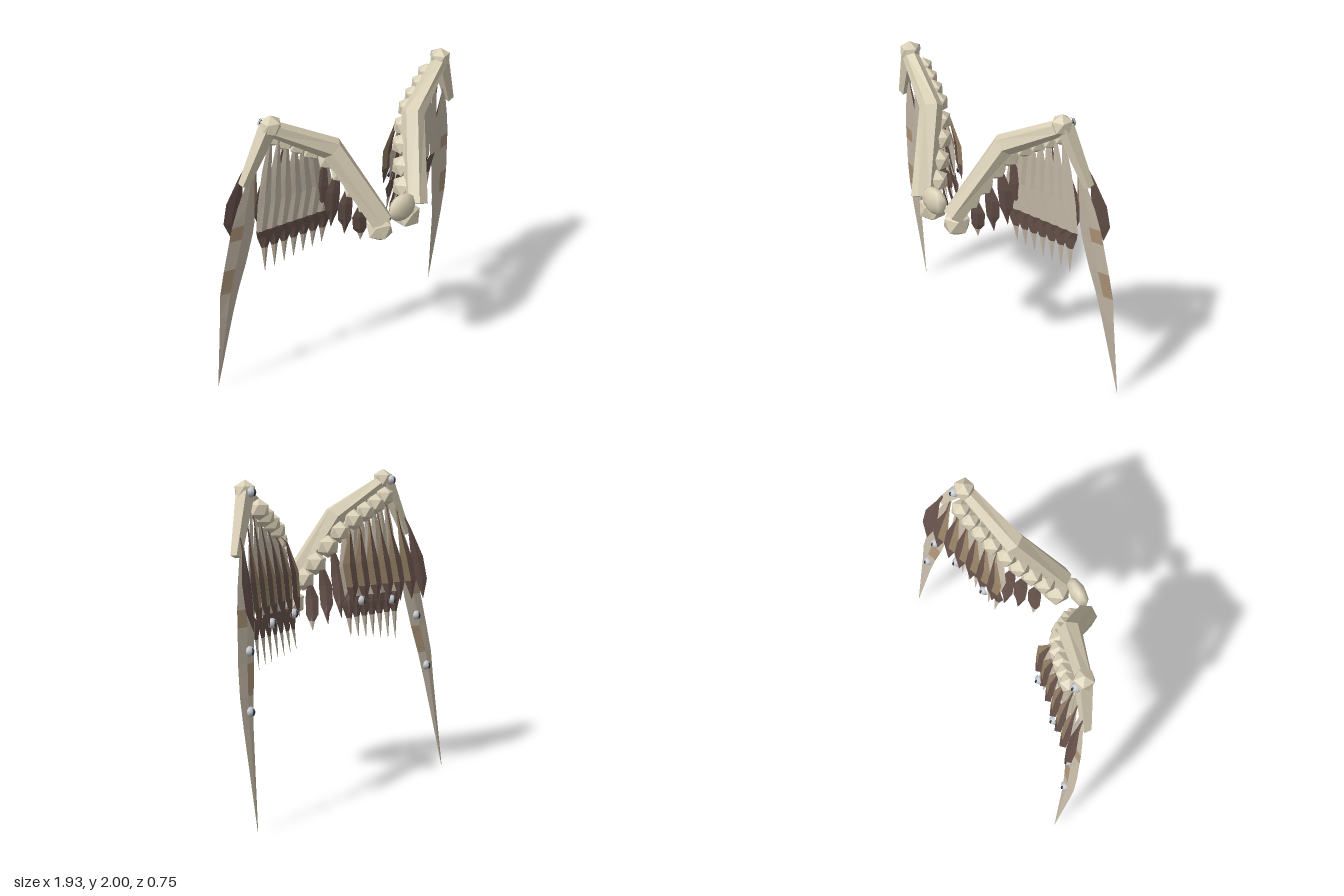
import * as THREE from 'three';

const mat = (name, color, side = THREE.FrontSide) => {
  const m = new THREE.MeshStandardMaterial({ color, side });
  m.name = name;
  return m;
};
const V = (a) => new THREE.Vector3(a[0], a[1], a[2]);
const mix = (a, b, t) => a + (b - a) * t;

// Triangle list to geometry, with material groups per run
function fromTriangles(runs) {
  const pos = [], g = new THREE.BufferGeometry();
  for (const { tris, m } of runs) {
    g.addGroup(pos.length / 3, tris.length, m);
    tris.forEach((p) => pos.push(p.x, p.y, p.z));
  }
  g.setAttribute('position', new THREE.Float32BufferAttribute(pos, 3));
  g.computeVertexNormals();
  return g;
}

// Mirror across x = 0 and restore the corner order
function mirrored(geo) {
  const g = geo.index ? geo.toNonIndexed() : geo.clone();
  for (const a of [g.attributes.position, g.attributes.normal]) {
    for (let i = 0; i < a.count; i += 3) {
      const c = [0, 2, 1].map((k) => [-a.getX(i + k), a.getY(i + k), a.getZ(i + k)]);
      c.forEach((q, k) => a.setXYZ(i + k, ...q));
    }
  }
  return g;
}

// Faceted limb: rings [x, y, z, radius] joined at mitred corners
function limb(rings, sides) {
  const c = rings.map(V), n = rings.length;
  const loops = rings.map((r, i) => {
    const t = c[Math.min(i + 1, n - 1)].clone().sub(c[Math.max(i - 1, 0)]).normalize();
    const u = new THREE.Vector3(0, 0, 1).addScaledVector(t, -t.z).normalize();
    const w = t.clone().cross(u);
    return Array.from({ length: sides }, (_, k) => {
      const a = ((k + 0.5) / sides) * Math.PI * 2;
      return c[i].clone().addScaledVector(u, r[3] * Math.cos(a)).addScaledVector(w, r[3] * Math.sin(a));
    });
  });
  const tris = [];
  for (let k = 0; k < sides; k++) {
    const j = (k + 1) % sides;
    for (let i = 0; i < n - 1; i++) {
      const [a, b] = [loops[i], loops[i + 1]];
      tris.push(a[k], a[j], b[j], a[k], b[j], b[k]);
    }
    tris.push(c[0], loops[0][j], loops[0][k], c[n - 1], loops[n - 1][k], loops[n - 1][j]);
  }
  return fromTriangles([{ tris, m: 0 }]);
}

// Thin ridged blade: rows [x, y, z, halfWidth]; tones = [inner, outer, inner back, outer back] per section
function blade(rows, dir, tones, thick = 0.007) {
  const d = V(dir).normalize(), f = new THREE.Vector3(-d.z, 0, d.x);
  const sec = rows.map((r) => {
    const p = V(r), t = Math.min(thick, r[3] * 0.4);
    return [p.clone().addScaledVector(d, -r[3]), p.clone().addScaledVector(f, t),
      p.clone().addScaledVector(d, r[3]), p.clone().addScaledVector(f, -t)];
  });
  const runs = [];
  for (let i = 0; i < rows.length - 1; i++) {
    const [a, b] = [sec[i], sec[i + 1]];
    const [inner, outer, innerBack = inner, outerBack = outer] = tones[i];
    [inner, outer, outerBack, innerBack].forEach((m, k) => {
      const j = (k + 1) % 4;
      runs.push({ tris: [a[k], b[k], b[j], a[k], b[j], a[j]], m });
    });
  }
  return fromTriangles(runs);
}

export function createModel() {
  const root = new THREE.Group();
  root.name = 'wings';
  const bone = mat('bone', 0xd9cfb6);
  const pale = mat('pale feather', 0xc8bcaa, THREE.DoubleSide);
  const dark = mat('dark brown feather', 0x68534c, THREE.DoubleSide);
  const mid = mat('mid brown feather', 0x998468, THREE.DoubleSide);
  const tan = mat('tan patch', 0xb0967a, THREE.DoubleSide);
  const silver = mat('silver bead', 0xc0c6cc);
  const black = mat('bead slit', 0x2e2e32);
  const plumage = [pale, dark, mid, tan];
  const P = 0, D = 1, M = 2, T = 3;

  // Central knuckle
  const hub = new THREE.Mesh(new THREE.SphereGeometry(1, 8, 6), bone);
  hub.name = 'centreKnuckle';
  hub.scale.set(0.105, 0.088, 0.05);
  hub.position.set(0, 1.288, 0.328);
  root.add(hub);

  // Parts of the left wing; each is mirrored for the right
  const parts = [];
  const add = (name, geo, m) => parts.push({ name, geo, m });

  add('armBone', limb([[0.145, 1.24, 0.3, 0.073], [0.33, 1.71, 0.065, 0.073], [0.675, 1.915, -0.055, 0.05]], 6), bone);
  add('fingerBone', limb([[0.69, 1.92, -0.07, 0.055], [0.84, 1.57, -0.13, 0.033]], 4), bone);

  // Wrist and chain of feather sockets, each with a corner pointing up
  [[0.677, 1.931, -0.058, 0.069], [0.115, 1.155, 0.25, 0.09], [0.15, 1.31, 0.18, 0.076],
    [0.2, 1.41, 0.12, 0.075], [0.25, 1.52, 0.06, 0.074], [0.31, 1.61, 0.01, 0.072],
    [0.39, 1.685, -0.04, 0.07], [0.47, 1.735, -0.07, 0.068], [0.55, 1.78, -0.095, 0.067],
    [0.62, 1.825, -0.115, 0.065]].forEach(([x, y, z, r], i) =>
    add(i ? 'featherSocket' : 'wristJoint', new THREE.IcosahedronGeometry(r).rotateZ(0.5536).translate(x, y, z), bone));

  // Pale flight feathers with a dark band near the tip
  for (let i = 0; i < 7; i++) {
    const t = i / 6, rx = mix(0.36, 0.66, t), mx = mix(0.29, 0.71, t), bx = mix(0.28, 0.69, t);
    const ry = mix(1.68, 1.83, t), z0 = mix(-0.02, -0.09, t), z1 = mix(-0.11, -0.165, t);
    const zAt = (y) => mix(z0, z1, (ry - y) / (ry - 0.9));
    add('flightFeather', blade([
      [rx, ry, z0, 0.01],
      [mix(rx, mx, 0.45), 1.62, zAt(1.62), 0.031],
      [mx - 0.012, 1.4, zAt(1.4), 0.043],
      [mx + 0.008, 1.2, zAt(1.2), 0.034],
      [bx, 1.15, zAt(1.15), 0.05],
      [bx, 1.07, zAt(1.07), 0.022],
      [bx - 0.005, mix(0.95, 0.89, t), z1, 0.001]], [0.97, 0, -0.24],
    [[P, P], [P, P], [P, P], [D, D], [D, D], [P, P]]), plumage);
  }

  // Brown coverts behind the flight feathers
  for (let i = 0; i < 7; i++) {
    const t = i / 6, rx = mix(0.34, 0.81, t), bx = mix(0.27, 0.85, t);
    const ry = i < 5 ? mix(1.64, 1.86, t) : mix(1.8, 1.7, i - 5);
    const z0 = mix(-0.04, -0.13, t), z1 = mix(-0.13, -0.27, t), inner = i < 6 ? M : D;
    add('covert', blade([
      [rx, ry, z0, 0.004],
      [mix(rx, bx, 0.4), 1.6, mix(z0, z1, 0.3), 0.014],
      [bx, 1.42, mix(z0, z1, 0.62), 0.052],
      [bx + 0.01, 1.27, mix(z0, z1, 0.85), 0.048],
      [bx, 1.15, z1, 0.002]], [0.97, 0, -0.24],
    [[inner, D], [inner, D], [inner, D], [D, D]]), plumage);
  }

  // Short inner feathers
  [[0.15, 1.32, 0.14, 0.12, 0.99, 0.08], [0.2, 1.43, 0.08, 0.19, 1.03, 0.01],
    [0.25, 1.53, 0.03, 0.24, 1.07, -0.06], [0.31, 1.6, -0.02, 0.28, 1.09, -0.1]].forEach(([x, y, z, bx, by, bz], i) => {
    const row = (t, w, k = 0) => [mix(x, bx, t) + k, mix(y, by, t), mix(z, bz, t), w];
    add('innerFeather', blade([row(0, 0.008), row(0.4, 0.045, 0.02), row(0.7, 0.042, 0.01), row(0.82, 0.02), row(1, 0.001)],
      [0.85, 0, -0.52], [[D, D], [D, D], [D, D], i ? [D, D] : [P, P]]), plumage);
  });

  // Long trailing feather with tan patches
  add('longFeather', blade([
    [0.77, 1.7, -0.11, 0.006],
    [0.81, 1.4, -0.16, 0.06],
    [0.82, 1.27, -0.18, 0.08],
    [0.832, 1.17, -0.195, 0.083],
    [0.868, 0.96, -0.225, 0.078],
    [0.897, 0.78, -0.255, 0.067],
    [0.912, 0.6, -0.28, 0.048],
    [0.945, 0, -0.375, 0.001]], [0.98, 0, -0.1],
  [[P, P], [P, P], [P, T], [P, P], [P, T, T, P], [P, P], [P, P]], 0.01), plumage);

  // Silver half beads with a dark slit, on the back only
  [[0.837, 1.03, -0.222], [0.89, 0.69, -0.272], [0.6, 1.16, -0.19], [0.34, 1.18, -0.14], [0.69, 1.93, -0.115]].forEach(([x, y, z]) => {
    add('bead', new THREE.SphereGeometry(0.031, 16, 6, 0, Math.PI * 2, 0, Math.PI / 2).rotateX(-Math.PI / 2).translate(x, y, z), silver);
    add('beadSlit', new THREE.SphereGeometry(0.014, 10, 8).scale(0.65, 1.6, 1).translate(x, y, z - 0.022), black);
  });

  for (const side of ['left', 'right']) {
    const wing = new THREE.Group();
    wing.name = side + 'Wing';
    for (const { name, geo, m } of parts) {
      const mesh = new THREE.Mesh(side === 'left' ? geo : mirrored(geo), m);
      mesh.name = name;
      wing.add(mesh);
    }
    root.add(wing);
  }
  return root;
}
